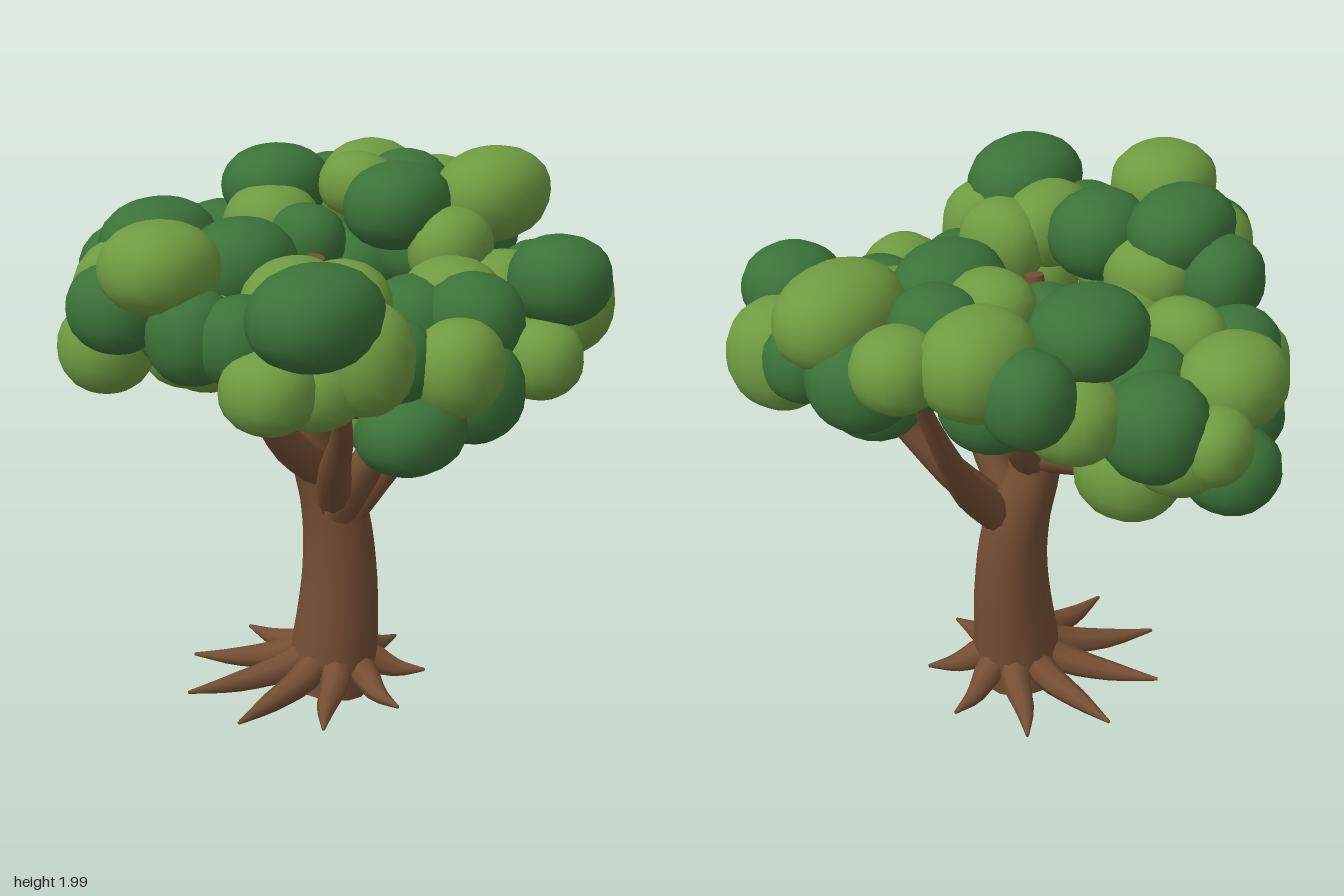
import * as THREE from 'three';

const mat = (name, color) => Object.assign(new THREE.MeshStandardMaterial({ color }), { name });

// Unit sphere swollen slightly towards a box, for full-looking leaf puffs
function puffGeometry(power) {
  const geo = new THREE.SphereGeometry(1, 16, 12);
  const { position, normal } = geo.attributes;
  const v = new THREE.Vector3();
  const bend = (c) => Math.sign(c) * Math.abs(c) ** (power - 1);
  for (let i = 0; i < position.count; i++) {
    v.fromBufferAttribute(position, i);
    const norm = (Math.abs(v.x) ** power + Math.abs(v.y) ** power + Math.abs(v.z) ** power) ** (1 / power);
    v.divideScalar(norm);
    position.setXYZ(i, v.x, v.y, v.z);
    v.set(bend(v.x), bend(v.y), bend(v.z)).normalize();
    normal.setXYZ(i, v.x, v.y, v.z);
  }
  return geo;
}

export function createModel() {
  const bark = mat('bark brown', 0x754f34);
  const dark = mat('dark leaf green', 0x3c7239);
  const light = mat('light leaf green', 0x6f9b41);
  const tree = new THREE.Group();
  tree.name = 'tree';

  const add = (parent, name, geometry, material) => {
    const mesh = new THREE.Mesh(geometry, material);
    mesh.name = name;
    parent.add(mesh);
    return mesh;
  };

  // Tube along a smooth path whose radius follows a list of radii
  function limb(parent, name, points, radii, steps = 14, sides = 12) {
    const curve = new THREE.CatmullRomCurve3(points.map((p) => new THREE.Vector3(...p)));
    const geo = new THREE.TubeGeometry(curve, steps, 1, sides, false);
    const pos = geo.attributes.position;
    const v = new THREE.Vector3();
    for (let i = 0; i <= steps; i++) {
      const f = curve.getUtoTmapping(i / steps) * (radii.length - 1);
      const k = Math.min(Math.floor(f), radii.length - 2);
      const r = THREE.MathUtils.lerp(radii[k], radii[k + 1], f - k);
      const c = curve.getPointAt(i / steps);
      for (let j = 0; j <= sides; j++) {
        const n = i * (sides + 1) + j;
        v.fromBufferAttribute(pos, n).sub(c).multiplyScalar(r).add(c);
        pos.setXYZ(n, v.x, v.y, v.z);
      }
    }
    add(parent, name, geo, bark);
    // Flat caps on both ends
    [[0, -1, radii[0]], [1, 1, radii[radii.length - 1]]].forEach(([u, sign, r]) => {
      const cap = add(parent, name + 'Cap', new THREE.CircleGeometry(r, sides), bark);
      cap.position.copy(curve.getPointAt(u));
      cap.quaternion.setFromUnitVectors(new THREE.Vector3(0, 0, 1), curve.getTangentAt(u).multiplyScalar(sign));
    });
  }

  // Trunk
  limb(tree, 'trunk',
    [[0.03, 0.03, 0.09], [0.045, 0.2, 0.105], [0.065, 0.5, 0.11], [0.055, 0.75, 0.09], [0.0, 1.02, 0.03], [-0.03, 1.35, 0.03], [-0.06, 1.72, 0.09]],
    [0.15, 0.165, 0.14, 0.122, 0.085, 0.055, 0.034], 28, 16);

  // Ring of tapering roots
  const roots = new THREE.Group();
  roots.name = 'roots';
  tree.add(roots);
  for (let i = 0; i < 9; i++) {
    const a = THREE.MathUtils.degToRad(12 + i * 40);
    const at = (r, y, pull) => [-0.03 + 0.07 * pull + Math.cos(a) * r * 1.06, y, 0.02 + 0.08 * pull + Math.sin(a) * r];
    limb(roots, 'root', [at(0.07, 0.18, 1), at(0.18, 0.125, 0.8), at(0.31, 0.09, 0.3), at(0.445, 0.08, 0)],
      [0.06, 0.056, 0.036, 0.006], 8, 8);
  }

  // Branches
  const branches = new THREE.Group();
  branches.name = 'branches';
  tree.add(branches);
  [
    [[0.02, 0.78, 0.13], [-0.17, 0.98, 0.26], [-0.34, 1.22, 0.42], [-0.5, 1.5, 0.52]],
    [[-0.01, 0.78, 0.16], [-0.03, 0.93, 0.27], [-0.04, 1.12, 0.4], [0.0, 1.4, 0.6]],
    [[0.05, 0.76, 0.16], [0.2, 0.97, 0.27], [0.31, 1.2, 0.44], [0.45, 1.45, 0.58]],
    [[0.08, 0.76, 0.13], [0.28, 0.98, 0.14], [0.49, 1.3, 0.1], [0.68, 1.7, 0.1]],
    [[0.0, 1.0, 0.04], [0.12, 1.12, 0.02], [0.21, 1.35, -0.02], [0.28, 1.7, -0.1]],
    [[0.0, 1.04, 0.04], [0.04, 1.1, -0.15], [0.08, 1.2, -0.45], [0.1, 1.4, -0.7]],
    [[-0.01, 1.15, 0.03], [-0.13, 1.25, -0.1], [-0.27, 1.4, -0.25], [-0.45, 1.65, -0.3]],
    [[0.01, 0.9, 0.07], [-0.22, 1.08, 0.08], [-0.42, 1.38, 0.05], [-0.6, 1.7, 0.0]],
  ].forEach((path) => limb(branches, 'branch', path, [0.072, 0.062, 0.038, 0.022], 12, 10));

  // Leaf clusters: x, y, z, then width, height and depth radii
  const clusters = {
    frontLeaves: {
      dark: [
        [0.4, 1.66, 0.8, 0.18, 0.155, 0.18], [-0.28, 1.27, 0.66, 0.21, 0.14, 0.17],
        [0.02, 1.34, 0.7, 0.18, 0.18, 0.18], [0.14, 1.54, 0.62, 0.17, 0.17, 0.18],
        [0.67, 1.56, 0.54, 0.13, 0.14, 0.14], [0.36, 1.31, 0.48, 0.18, 0.16, 0.18],
        [-0.15, 1.38, 0.34, 0.17, 0.16, 0.17], [-0.18, 1.36, 0.52, 0.16, 0.14, 0.15],
        [0.08, 1.51, 0.42, 0.19, 0.17, 0.18],
      ],
      light: [
        [-0.16, 1.48, 0.76, 0.165, 0.165, 0.15], [0.27, 1.41, 0.81, 0.15, 0.14, 0.15],
        [0.6, 1.52, 0.69, 0.19, 0.2, 0.19], [0.21, 1.57, 0.48, 0.18, 0.155, 0.18],
        [0.5, 1.52, 0.5, 0.2, 0.17, 0.17], [-0.04, 1.24, 0.36, 0.17, 0.18, 0.19],
        [0.0, 1.45, 0.33, 0.18, 0.15, 0.15],
      ],
    },
    leftLeaves: {
      dark: [
        [0.8, 1.67, 0.17, 0.17, 0.17, 0.18], [0.68, 1.73, -0.41, 0.15, 0.16, 0.15],
        [0.36, 1.83, -0.42, 0.21, 0.145, 0.19], [0.36, 1.83, 0.14, 0.21, 0.155, 0.18],
        [0.61, 1.83, 0.0, 0.15, 0.14, 0.16], [0.17, 1.7, -0.13, 0.13, 0.13, 0.15],
        [0.47, 1.53, -0.12, 0.19, 0.17, 0.18], [0.55, 1.63, 0.12, 0.17, 0.15, 0.18],
      ],
      light: [
        [0.72, 1.83, 0.31, 0.25, 0.17, 0.19], [0.82, 1.77, 0.0, 0.15, 0.14, 0.15],
        [0.67, 1.79, -0.21, 0.21, 0.18, 0.18], [0.43, 1.86, -0.09, 0.13, 0.12, 0.15],
        [0.21, 1.72, -0.32, 0.17, 0.15, 0.18], [0.41, 1.69, 0.34, 0.17, 0.15, 0.14],
        [0.51, 1.6, -0.46, 0.16, 0.15, 0.17],
      ],
    },
    backLeaves: {
      dark: [
        [0.09, 1.32, -0.82, 0.17, 0.145, 0.165], [0.34, 1.55, -0.67, 0.18, 0.18, 0.18],
        [-0.32, 1.5, -0.58, 0.17, 0.17, 0.16], [0.1, 1.53, -0.46, 0.17, 0.16, 0.18],
        [0.08, 1.31, -0.28, 0.16, 0.15, 0.16], [-0.2, 1.34, -0.66, 0.18, 0.15, 0.17],
      ],
      light: [
        [-0.05, 1.56, -0.73, 0.21, 0.16, 0.18], [0.24, 1.49, -0.84, 0.14, 0.13, 0.12],
        [-0.15, 1.6, -0.47, 0.14, 0.14, 0.16], [-0.17, 1.52, -0.19, 0.2, 0.17, 0.18],
        [-0.47, 1.38, -0.53, 0.17, 0.17, 0.17], [0.22, 1.28, -0.5, 0.18, 0.18, 0.19],
        [-0.2, 1.34, -0.38, 0.17, 0.15, 0.17], [0.27, 1.45, -0.72, 0.16, 0.15, 0.16],
      ],
    },
    rightLeaves: {
      dark: [
        [-0.5, 1.81, -0.24, 0.22, 0.155, 0.18], [-0.4, 1.76, 0.04, 0.19, 0.16, 0.18],
        [-0.47, 1.68, -0.43, 0.16, 0.16, 0.15], [-0.79, 1.66, -0.18, 0.145, 0.15, 0.17],
        [-0.77, 1.62, 0.14, 0.15, 0.16, 0.15], [-0.5, 1.53, -0.1, 0.18, 0.15, 0.18],
      ],
      light: [
        [-0.78, 1.83, 0.01, 0.2, 0.15, 0.19], [-0.66, 1.68, -0.24, 0.18, 0.18, 0.18],
        [-0.36, 1.68, -0.2, 0.15, 0.14, 0.17], [-0.62, 1.55, 0.08, 0.18, 0.16, 0.17],
      ],
    },
    frontRightLeaves: {
      dark: [
        [-0.67, 1.74, 0.56, 0.24, 0.165, 0.2], [-0.71, 1.62, 0.3, 0.16, 0.15, 0.15],
        [-0.3, 1.5, 0.6, 0.14, 0.15, 0.14],
      ],
      light: [
        [-0.51, 1.58, 0.63, 0.155, 0.19, 0.17], [-0.77, 1.5, 0.45, 0.15, 0.14, 0.16],
        [-0.48, 1.69, 0.32, 0.2, 0.16, 0.15], [-0.32, 1.66, 0.41, 0.145, 0.16, 0.17],
        [-0.6, 1.48, 0.5, 0.16, 0.14, 0.17], [-0.43, 1.48, 0.37, 0.19, 0.16, 0.18],
      ],
    },
  };
  const puff = puffGeometry(2.22);
  for (const [name, shades] of Object.entries(clusters)) {
    const group = new THREE.Group();
    group.name = name;
    tree.add(group);
    for (const [shade, material] of [['dark', dark], ['light', light]]) {
      shades[shade].forEach(([x, y, z, rx, ry, rz]) => {
        const mesh = add(group, shade + 'Puff', puff, material);
        mesh.position.set(x, y, z);
        mesh.scale.set(rx, ry, rz);
      });
    }
  }
  return tree;
}
